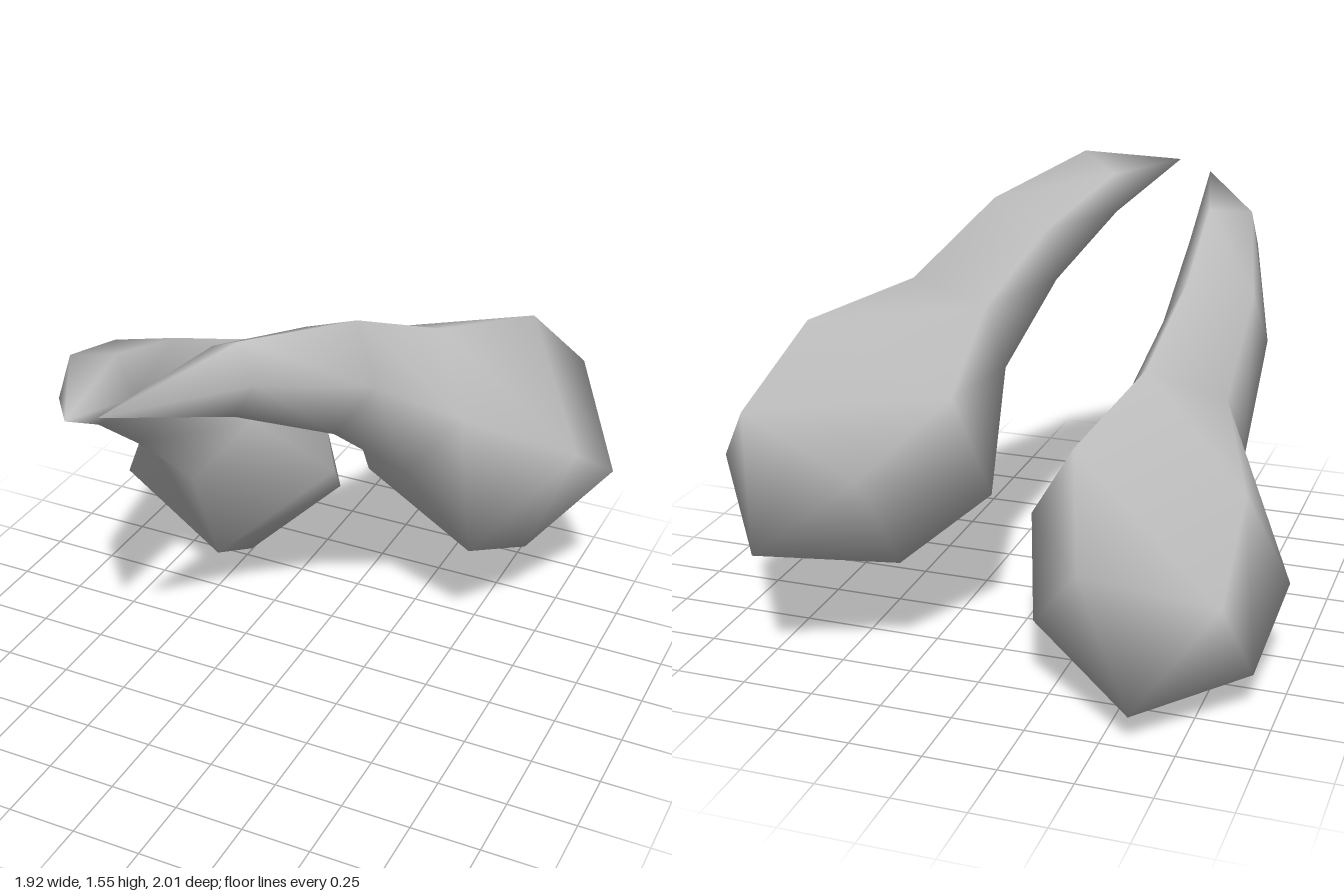
import * as THREE from 'three';

const PHI = 1.618;
const TIP = [-0.21, 1.45, 1.0];
const BACK = [0.69, 0.48, -1.0];

// Each pentagonal section by three corners in a row: outer, lower, inner.
// Ordered from the bulb at the back to the narrow end.
const SECTIONS = [
  [[0.95, 0.68, -0.67], [0.67, 0.34, -0.55], [0.27, 0.41, -0.76]],
  [[0.89, 0.88, -0.38], [0.56, 0.48, -0.22], [0.05, 0.57, -0.47]],
  [[0.53, 1.05, -0.16], [0.36, 0.84, -0.07], [0.09, 0.94, -0.21]],
  [[0.36, 1.31, 0.21], [0.23, 1.125, 0.25], [0.02, 1.17, 0.14]],
  [[0.12, 1.45, 0.61], [0.04, 1.315, 0.595], [-0.09, 1.34, 0.52]],
];

// The two remaining corners of a regular pentagon
function pentagon([a, b, c]) {
  const d = a.map((v, i) => v + PHI * (c[i] - b[i]));
  const e = c.map((v, i) => v + PHI * (a[i] - b[i]));
  return [a, b, c, d, e];
}

// Closed horn with its tip at the origin
function hornGeometry(mirrored) {
  const points = [BACK, ...SECTIONS.flatMap(pentagon), TIP];
  const side = mirrored ? -1 : 1;
  const positions = points.flatMap((p) => [side * (p[0] - TIP[0]), p[1] - TIP[1], p[2] - TIP[2]]);

  const index = [];
  const tri = (a, b, c) => index.push(...(mirrored ? [a, c, b] : [a, b, c]));
  const at = (ring, k) => 1 + ring * 5 + (k % 5);
  const last = SECTIONS.length - 1;
  for (let k = 0; k < 5; k++) {
    tri(0, at(0, k), at(0, k + 1));
    for (let r = 0; r < last; r++) {
      tri(at(r, k), at(r + 1, k), at(r, k + 1));
      tri(at(r, k + 1), at(r + 1, k), at(r + 1, k + 1));
    }
    tri(at(last, k), points.length - 1, at(last, k + 1));
  }

  const geometry = new THREE.BufferGeometry();
  geometry.setAttribute('position', new THREE.Float32BufferAttribute(positions, 3));
  geometry.setIndex(index);
  geometry.computeVertexNormals();
  return geometry;
}

export function createModel() {
  const group = new THREE.Group();
  group.name = 'hornPair';
  const grey = new THREE.MeshStandardMaterial({ color: 0xc4c4c4 });
  grey.name = 'grey';

  const leftHorn = new THREE.Mesh(hornGeometry(false), grey);
  leftHorn.name = 'leftHorn';
  leftHorn.position.set(...TIP);

  // Mirrored twin, rolled about its tip
  const rightHorn = new THREE.Mesh(hornGeometry(true), grey);
  rightHorn.name = 'rightHorn';
  rightHorn.position.set(-0.33, 1.41, 1.0);
  rightHorn.rotation.z = 0.547;

  group.add(leftHorn, rightHorn);
  return group;
}
